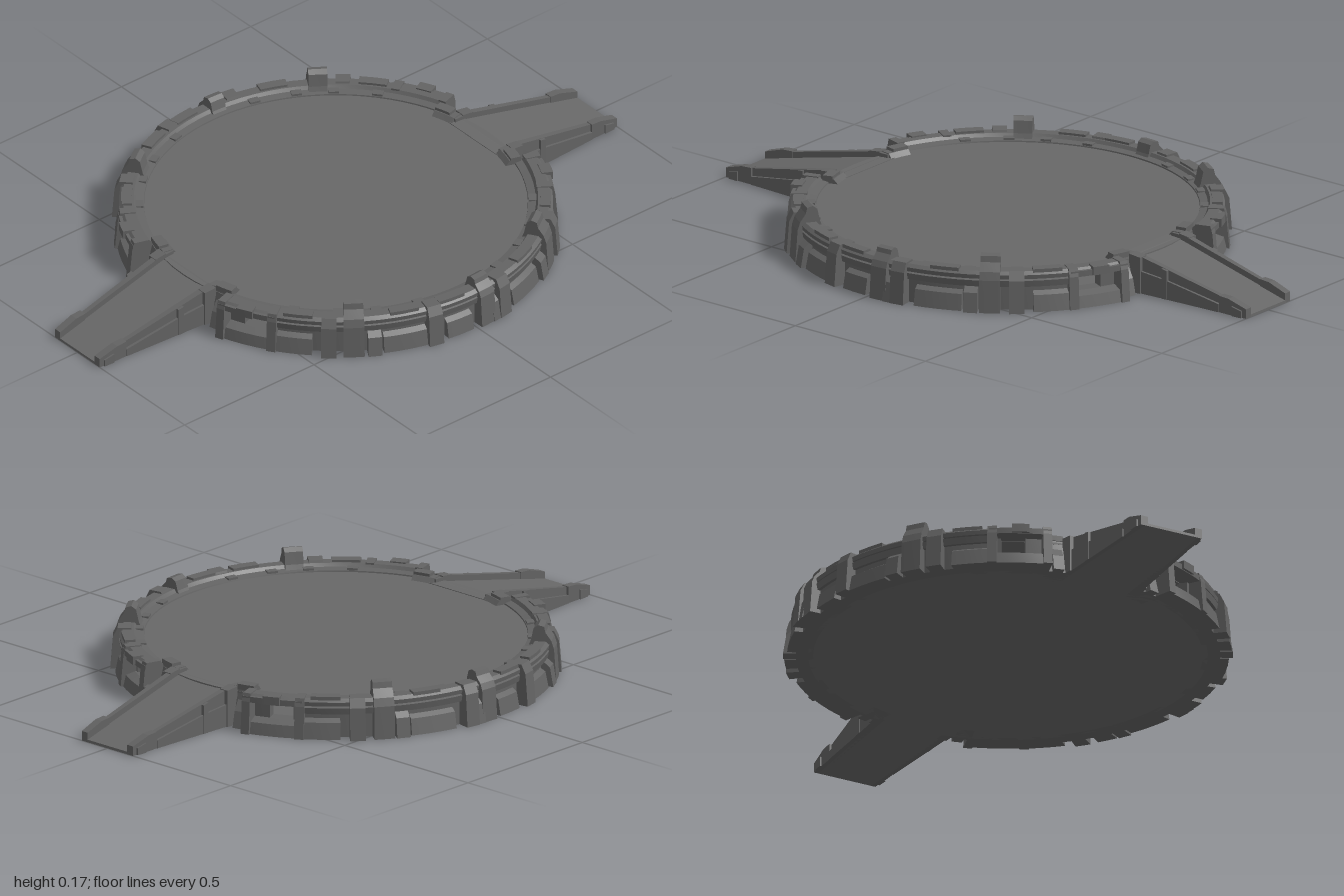
import * as THREE from 'three';
import { toCreasedNormals } from 'three/addons/utils/BufferGeometryUtils.js';

const deckGrey = new THREE.MeshStandardMaterial({ name: 'deckGrey', color: 0x686868 });
const frameGrey = new THREE.MeshStandardMaterial({ name: 'frameGrey', color: 0x636363 });

// Closed solid lofted through equal rings of [x, y, z] points
function loft(rings) {
  const n = rings[0].length, pos = [];
  const tri = (a, b, c) => pos.push(...a, ...b, ...c);
  for (let k = 0; k < rings.length - 1; k++) {
    const p = rings[k], q = rings[k + 1];
    for (let i = 0; i < n; i++) {
      const j = (i + 1) % n;
      tri(p[i], p[j], q[j]);
      tri(p[i], q[j], q[i]);
    }
  }
  const s = rings[0], e = rings[rings.length - 1];
  for (let i = 1; i < n - 1; i++) {
    tri(s[0], s[i + 1], s[i]);
    tri(e[0], e[i], e[i + 1]);
  }
  const g = new THREE.BufferGeometry();
  g.setAttribute('position', new THREE.Float32BufferAttribute(pos, 3));
  return toCreasedNormals(g, 0.15);
}

// [radius, height] profile swept around y between two angles in degrees
function sweep(profile, a0, a1) {
  const steps = Math.max(1, Math.ceil((a1 - a0) / 4)), rings = [];
  for (let k = 0; k <= steps; k++) {
    const a = THREE.MathUtils.degToRad(a0 + (a1 - a0) * k / steps);
    rings.push(profile.map(([r, y]) => [r * Math.cos(a), y, r * Math.sin(a)]));
  }
  return loft(rings);
}

// Beam along x through sections [x, zA, zB, yBottom, yTop]
function beam(sections) {
  return loft(sections.map(([x, za, zb, y0, y1]) => {
    const lo = Math.min(za, zb), hi = Math.max(za, zb);
    return [[x, y0, hi], [x, y0, lo], [x, y1, lo], [x, y1, hi]];
  }));
}

function add(parent, name, geometry, material = frameGrey) {
  const mesh = new THREE.Mesh(geometry, material);
  mesh.name = name;
  parent.add(mesh);
  return mesh;
}

const box = (r0, r1, y0, y1) => [[r0, y0], [r1, y0], [r1, y1], [r0, y1]];
const RIM = [[0.57, 0.1], [0.644, 0.1], [0.646, 0.113], [0.635, 0.122], [0.602, 0.122], [0.595, 0.112], [0.572, 0.108]];
const CORE = box(0.58, 0.632, 0, 0.102);
const SKIRT = [[0.6, 0], [0.658, 0], [0.648, 0.05], [0.632, 0.06], [0.6, 0.06]];
const BAND = [[0.6, 0.075], [0.642, 0.075], [0.646, 0.095], [0.632, 0.1], [0.6, 0.1]];
const POST = [[0.6, 0], [0.667, 0], [0.66, 0.1], [0.652, 0.125], [0.634, 0.15], [0.63, 0.168], [0.612, 0.173], [0.598, 0.162], [0.59, 0.125], [0.58, 0.1]];
const PAD = [[0.6, 0], [0.672, 0], [0.664, 0.1], [0.65, 0.128], [0.61, 0.128], [0.6, 0.1]];
const SHOE = [[0.6, 0], [0.67, 0], [0.66, 0.06], [0.63, 0.085], [0.6, 0.085]];
const lower = (profile, k) => profile.map(([r, y]) => [r, y > 0.1 ? 0.1 + (y - 0.1) * k : y]);

// One half of the ring; side = 1 is the front, -1 the back
function buildRing(side) {
  const ring = new THREE.Group();
  ring.name = side > 0 ? 'frontRing' : 'backRing';
  const arc = (name, profile, a0, a1) =>
    add(ring, name, side > 0 ? sweep(profile, a0, a1) : sweep(profile, -a1, -a0));
  const block = (name, profile, a, half) => arc(name, profile, a - half, a + half);

  arc('rim', RIM, 18, 162);
  arc('wallCore', CORE, 33, 147);
  arc('upperBand', BAND, 33, 147);
  for (const [a0, a1] of [[34, 44], [63, 76], [91, 99], [105, 117], [136, 146]])
    arc('skirtPanel', SKIRT, a0, a1);

  // Tall clamps standing over the rim
  for (const a of [55.5, 125]) block('tallPost', POST, a, 2.7);
  block('centrePost', lower(POST, 0.75), 86.5, 2.4);

  // Outer buttresses and feet
  for (const a of [48.5, 80.5, 103, 131.5]) block('buttress', PAD, a, 2);
  for (const a of [60.5, 83, 119.5]) block('foot', SHOE, a, 1.8);

  // Raised plates and inner catches along the rim
  for (const a of [40, 68, 97, 111, 140])
    block('rimPlate', box(0.608, 0.64, 0.118, 0.129), a, 4);
  for (const a of [38, 51, 62, 75, 105, 118, 129, 142])
    block('innerCatch', box(0.574, 0.602, 0.1, 0.115), a, 1.6);

  // Open windows and stepped ends beside each ramp
  for (const flip of [false, true]) {
    const end = (name, profile, a0, a1) => flip ? arc(name, profile, 180 - a1, 180 - a0) : arc(name, profile, a0, a1);
    end('windowSill', [[0.58, 0], [0.656, 0], [0.648, 0.036], [0.62, 0.045], [0.58, 0.045]], 18, 33);
    end('windowHeader', box(0.6, 0.652, 0.098, 0.116), 17.5, 34);
    end('windowInnerJamb', box(0.58, 0.615, 0.03, 0.102), 18, 24.2);
    end('windowInnerJamb', box(0.58, 0.615, 0.03, 0.102), 31, 34);
    end('windowFrame', [[0.6, 0], [0.664, 0], [0.655, 0.1], [0.648, 0.125], [0.6, 0.125]], 17.5, 19.8);
    end('windowFrame', [[0.6, 0], [0.664, 0], [0.655, 0.1], [0.648, 0.125], [0.6, 0.125]], 32, 34.5);
    end('windowCap', box(0.625, 0.66, 0.1, 0.126), 23.5, 28);
    end('endWall', [[0.54, 0], [0.606, 0], [0.596, 0.07], [0.585, 0.118], [0.555, 0.118], [0.54, 0.102]], 11, 18.5);
    end('endButtress', [[0.56, 0], [0.628, 0], [0.615, 0.05], [0.59, 0.085], [0.56, 0.085]], 13.5, 16.5);
    end('endRimPlate', box(0.558, 0.59, 0.11, 0.127), 13, 18.5);
  }
  return ring;
}

// Sloping ramp toward +x with side rails
function buildRamp() {
  const ramp = new THREE.Group();
  add(ramp, 'rampDeck', beam([[0.53, -0.115, 0.115, 0, 0.106], [0.565, -0.115, 0.115, 0, 0.105], [1, -0.09, 0.09, 0, 0.008]]), deckGrey);
  for (const s of [1, -1]) {
    add(ramp, 'rampRail', beam([
      [0.545, s * 0.1, s * 0.122, 0, 0.116], [0.6, s * 0.1, s * 0.12, 0, 0.115],
      [0.92, s * 0.086, s * 0.1, 0, 0.045]]));
    add(ramp, 'railSkirt', beam([[0.56, s * 0.11, s * 0.13, 0, 0.075], [0.7, s * 0.1, s * 0.121, 0, 0.06], [0.9, s * 0.09, s * 0.11, 0, 0.025]]));
    add(ramp, 'railEnd', beam([[0.9, s * 0.084, s * 0.108, 0, 0.052], [0.935, s * 0.083, s * 0.108, 0, 0.05], [1, s * 0.08, s * 0.104, 0, 0.03]]));
    add(ramp, 'railFoot', beam([[0.95, s * 0.09, s * 0.112, 0, 0.03], [0.985, s * 0.09, s * 0.11, 0, 0.022]]));
    add(ramp, 'railPost', beam([[0.575, s * 0.1, s * 0.134, 0, 0.119], [0.615, s * 0.1, s * 0.131, 0, 0.114]]));
    add(ramp, 'railRib', beam([[0.69, s * 0.1, s * 0.123, 0, 0.094], [0.71, s * 0.1, s * 0.122, 0, 0.09]]));
  }
  return ramp;
}

export function createModel() {
  const model = new THREE.Group();
  model.name = 'platform';

  // Deck and base plate, hollow between them
  const deck = add(model, 'deck', new THREE.CylinderGeometry(0.59, 0.59, 0.006, 72), deckGrey);
  deck.position.y = 0.101;
  const base = add(model, 'basePlate', new THREE.CylinderGeometry(0.595, 0.595, 0.008, 72), deckGrey);
  base.position.y = 0.004;

  model.add(buildRing(1), buildRing(-1));

  const leftRamp = buildRamp();
  leftRamp.name = 'leftRamp';
  const rightRamp = buildRamp();
  rightRamp.name = 'rightRamp';
  rightRamp.rotation.y = Math.PI;
  model.add(leftRamp, rightRamp);
  return model;
}
